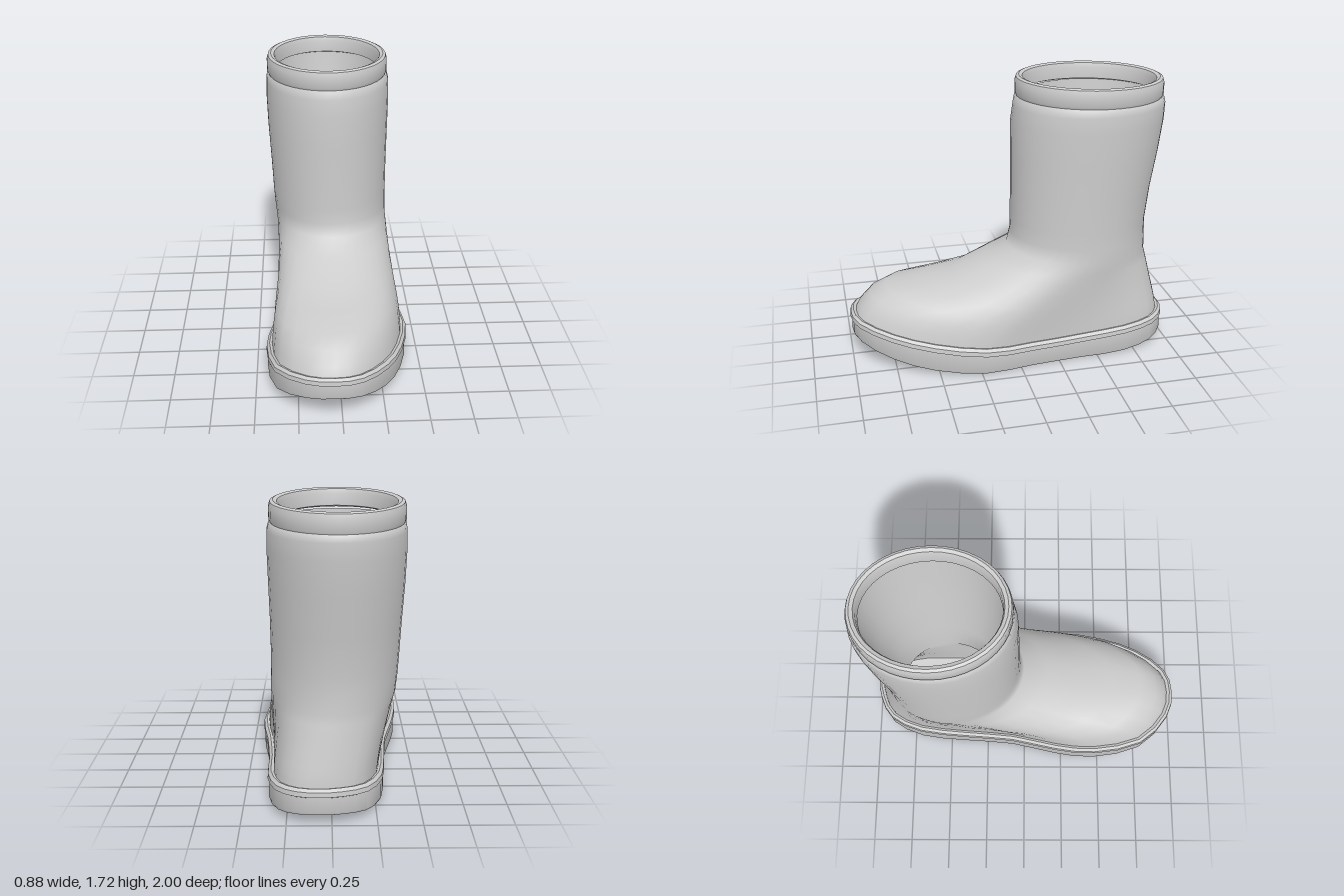
import * as THREE from 'three';
import { toCreasedNormals } from 'three/addons/utils/BufferGeometryUtils.js';

const N = 40;
const lerp = THREE.MathUtils.lerp;
const clamp = THREE.MathUtils.clamp;

// Sole outline (x, z), from the toe round the left side to the heel and back
const outlineCurve = new THREE.CatmullRomCurve3([
  [-0.04, 1], [0.12, 0.955], [0.275, 0.775], [0.38, 0.53], [0.437, 0.22],
  [0.4, -0.07], [0.372, -0.4], [0.365, -0.68], [0.31, -0.875], [0.2, -0.975],
  [0.07, -1], [-0.06, -0.98], [-0.2, -0.9], [-0.29, -0.7], [-0.32, -0.4],
  [-0.345, -0.08], [-0.41, 0.21], [-0.44, 0.47], [-0.385, 0.78], [-0.21, 0.96],
].map(([x, z]) => new THREE.Vector3(x, 0, z)), true, 'catmullrom', 0.5);
const outline = Array.from({ length: N }, (_, i) => outlineCurve.getPoint(i / N));

// Heights of the sole's underside and of the welt's top along z
const soleBottom = (z) => z > 0 ? 0.16 * z ** 2.6
  : 0.06 * Math.max(0, (-z - 0.5) / 0.5) ** 1.7;
const weltTop = (z) => 0.155 + (z > 0 ? 0.14 * z ** 1.6
  : 0.055 * Math.max(0, (-z - 0.3) / 0.7) ** 1.2);

// Outline moved inward by d, at a height given by z
function outlineRing(d, height) {
  return outline.map((p, i) => {
    const t = outline[(i + 1) % N].clone().sub(outline[(i + N - 1) % N]).normalize();
    const x = p.x + t.z * d, z = p.z - t.x * d;
    return new THREE.Vector3(x, height(z), z);
  });
}

// Outline folded onto the centre line, to close a surface
const spineRing = (d, height) => outlineRing(d, height).map((p) => p.setX(0));

// Ellipse ring, tilted so the front is higher by 2 * tilt than the back
function ellipse(cx, cz, rx, rz, y, tilt = 0) {
  return Array.from({ length: N }, (_, i) => {
    const a = (i / N) * Math.PI * 2;
    return new THREE.Vector3(cx + rx * Math.sin(a), y + tilt * Math.cos(a), cz + rz * Math.cos(a));
  });
}

// Skin a stack of rings
function loft(rings) {
  const index = [];
  for (let r = 0; r < rings.length - 1; r++) {
    for (let i = 0; i < N; i++) {
      const j = (i + 1) % N;
      const a = r * N + i, b = r * N + j;
      index.push(a, b, b + N, a, b + N, a + N);
    }
  }
  const geometry = new THREE.BufferGeometry().setFromPoints(rings.flat());
  geometry.setIndex(index);
  geometry.computeVertexNormals();
  return geometry;
}

// Foot rings sweep from the welt up over toe and instep to the ankle crease
function footRings(inset, ankle) {
  const frontIn = [0, 0.03, 0.1, 0.2, 0.42, 0.63, 0.84, 1];
  const frontUp = [0, 0.15, 0.33, 0.44, 0.5, 0.58, 0.82, 1];
  const sideIn = [0, 0.05, 0.12, 0.25, 0.44, 0.65, 0.85, 1];
  const sideUp = [0, 0.09, 0.18, 0.31, 0.48, 0.68, 0.87, 1];
  const base = outlineRing(inset, (z) => weltTop(z) - 0.015);
  return frontIn.map((_, k) => base.map((p, i) => {
    const q = ankle[i];
    const w = clamp((p.z + 0.1) / 1.06, 0, 1) ** 1.4;
    const inward = lerp(sideIn[k], frontIn[k], w);
    const up = lerp(sideUp[k], frontUp[k], w);
    return new THREE.Vector3(lerp(p.x, q.x, inward), lerp(p.y, q.y, up), lerp(p.z, q.z, inward));
  }));
}

export function createModel() {
  const group = new THREE.Group();
  const bootGrey = new THREE.MeshStandardMaterial({ color: 0xcccccc });
  bootGrey.name = 'bootGrey';

  const add = (name, geometry) => {
    const mesh = new THREE.Mesh(geometry, bootGrey);
    mesh.name = name;
    group.add(mesh);
  };

  // Sole with a rocker underside
  add('sole', toCreasedNormals(loft([
    spineRing(0.012, soleBottom),
    outlineRing(0.012, soleBottom),
    outlineRing(0.006, (z) => soleBottom(z) + 0.012),
    outlineRing(0.01, (z) => weltTop(z) - 0.045),
  ]), 0.6));

  // Welt bead round the sole, closed across as the insole
  add('welt', toCreasedNormals(loft([
    outlineRing(0.02, (z) => weltTop(z) - 0.055),
    outlineRing(0, (z) => weltTop(z) - 0.045),
    outlineRing(0.003, (z) => weltTop(z) - 0.017),
    outlineRing(0.02, weltTop),
    outlineRing(0.05, (z) => weltTop(z) - 0.01),
    spineRing(0.05, (z) => weltTop(z) - 0.02),
  ]), 0.6));

  // Foot and shaft in one smooth skin
  add('upper', loft([
    ...footRings(0.035, ellipse(-0.012, -0.447, 0.362, 0.445, 0.625, 0.035)),
    ellipse(-0.018, -0.457, 0.365, 0.433, 0.72, 0.02),
    ellipse(-0.022, -0.458, 0.368, 0.431, 0.82, 0.01),
    ellipse(-0.026, -0.472, 0.374, 0.442, 1.02),
    ellipse(-0.03, -0.492, 0.384, 0.462, 1.25),
    ellipse(-0.031, -0.506, 0.39, 0.474, 1.45),
    ellipse(-0.031, -0.515, 0.388, 0.469, 1.55),
    ellipse(-0.034, -0.515, 0.38, 0.461, 1.59, 0.006),
    ellipse(-0.034, -0.515, 0.355, 0.435, 1.612, 0.006),
  ]));

  // Cuff with a rolled lip
  const cuffRing = (inset, y) => ellipse(-0.034, -0.515, 0.379 - inset, 0.457 - inset, y, 0.01);
  add('cuff', toCreasedNormals(loft([
    cuffRing(0.04, 1.592),
    cuffRing(0.008, 1.594),
    cuffRing(0, 1.612),
    cuffRing(0, 1.68),
    cuffRing(0.008, 1.706),
    cuffRing(0.025, 1.714),
    cuffRing(0.046, 1.706),
    cuffRing(0.055, 1.68),
    cuffRing(0.057, 1.61),
    cuffRing(0.03, 1.6),
  ]), 0.75));

  // Inner lining, narrowing at the ankle and opening into the foot
  add('lining', loft([
    ellipse(-0.034, -0.515, 0.35, 0.43, 1.6),
    ellipse(-0.034, -0.51, 0.335, 0.415, 1.45),
    ellipse(-0.034, -0.495, 0.3, 0.37, 1.1),
    ellipse(-0.034, -0.487, 0.255, 0.31, 0.78),
    ...footRings(0.13, ellipse(-0.034, -0.485, 0.237, 0.287, 0.54, 0.02)).reverse(),
  ]));

  return group;
}
